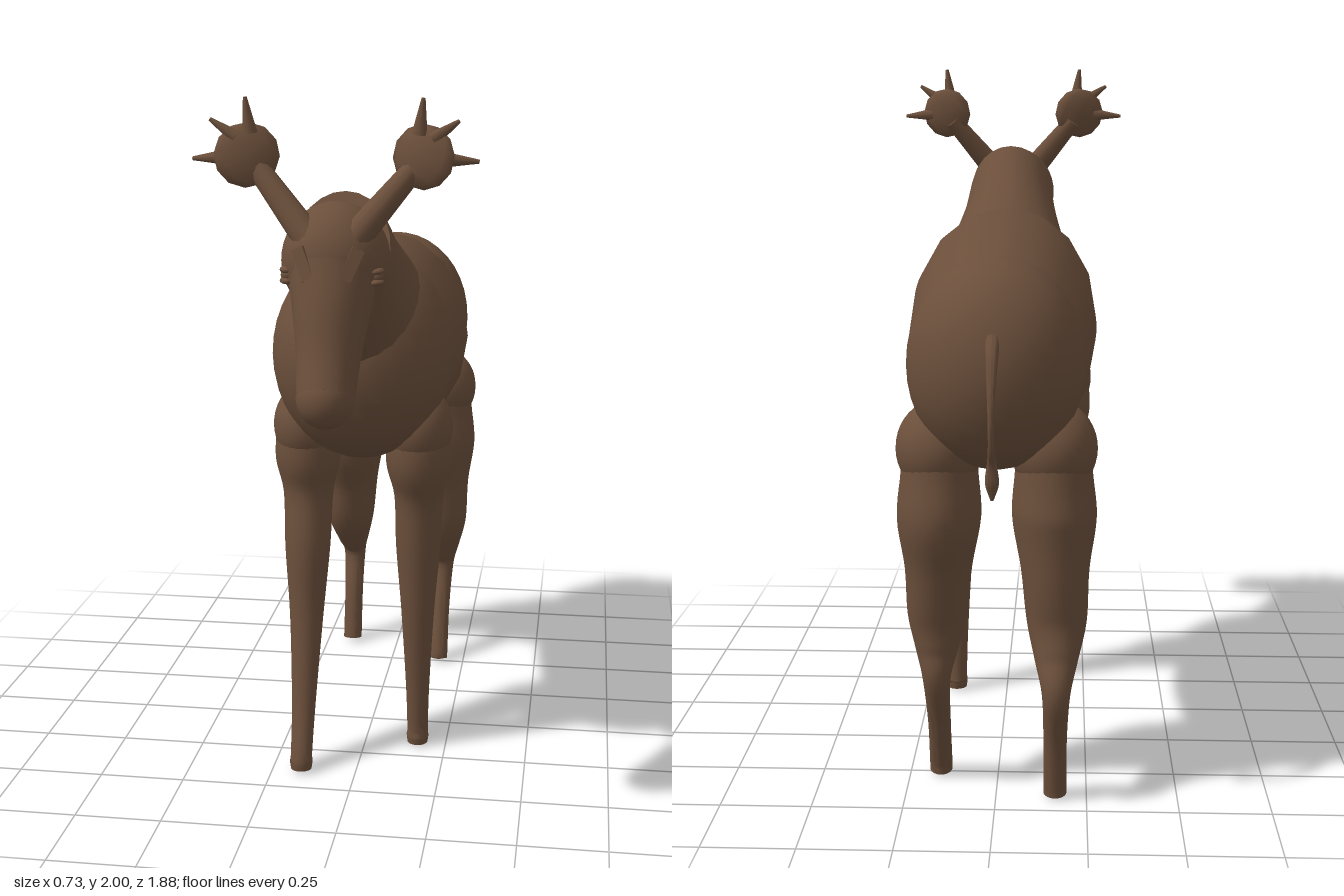
import * as THREE from 'three';
import { toCreasedNormals } from 'three/addons/utils/BufferGeometryUtils.js';

const hide = new THREE.MeshStandardMaterial({ color: 0x6b4f3b });
hide.name = 'brown hide';

const V = (x, y, z) => new THREE.Vector3(x, y, z);

function add(parent, name, geometry) {
  const mesh = new THREE.Mesh(geometry, hide);
  mesh.name = name;
  parent.add(mesh);
  return mesh;
}

function ellipsoid(parent, name, pos, radii, w = 32, h = 20) {
  const mesh = add(parent, name, new THREE.SphereGeometry(1, w, h));
  mesh.position.set(...pos);
  mesh.scale.set(...radii);
  return mesh;
}

// Smooth skin over elliptical rings [x, y, z, half width, half depth]
function loft(rings, sides = 24, steps = 5) {
  const path = new THREE.CatmullRomCurve3(rings.map(r => V(r[0], r[1], r[2])), false, 'catmullrom');
  const size = new THREE.CatmullRomCurve3(rings.map(r => V(r[3], r[4], 0)), false, 'catmullrom');
  const n = (rings.length - 1) * steps;
  const side = V(1, 0, 0), pos = [], index = [];
  for (let i = 0; i <= n; i++) {
    const c = path.getPoint(i / n), s = size.getPoint(i / n);
    const t = path.getTangent(i / n).setX(0).normalize();
    const normal = t.cross(side);
    for (let j = 0; j < sides; j++) {
      const a = j / sides * Math.PI * 2;
      const p = c.clone().addScaledVector(side, Math.cos(a) * s.x).addScaledVector(normal, Math.sin(a) * s.y);
      pos.push(p.x, p.y, p.z);
    }
  }
  for (let i = 0; i < n; i++) {
    for (let j = 0; j < sides; j++) {
      const a = i * sides + j, b = i * sides + (j + 1) % sides;
      index.push(a, b, a + sides, b, b + sides, a + sides);
    }
  }
  // End caps
  const first = pos.length / 3, last = n * sides;
  const c0 = path.getPoint(0), c1 = path.getPoint(1);
  pos.push(c0.x, c0.y, c0.z, c1.x, c1.y, c1.z);
  for (let j = 0; j < sides; j++) {
    const k = (j + 1) % sides;
    index.push(first, k, j, first + 1, last + j, last + k);
  }
  const g = new THREE.BufferGeometry();
  g.setAttribute('position', new THREE.Float32BufferAttribute(pos, 3));
  g.setIndex(index);
  return toCreasedNormals(g, Math.PI / 4);
}

// Cone or rod between two points
function rod(parent, name, from, to, r0, r1, sides = 12) {
  const a = V(...from), b = V(...to), d = b.clone().sub(a);
  const mesh = add(parent, name, new THREE.CylinderGeometry(r1, r0, d.length(), sides));
  mesh.position.copy(a).add(b).multiplyScalar(0.5);
  mesh.quaternion.setFromUnitVectors(V(0, 1, 0), d.normalize());
  return mesh;
}

// Leg rings: [y, z, x, half width, half depth]
function leg(parent, name, s, rings) {
  return add(parent, name, loft(rings.map(([y, z, x, rx, rz]) => [s * x, y, z, rx, rz])));
}

function makeAntler(s) {
  const g = new THREE.Group();
  g.name = s > 0 ? 'leftAntler' : 'rightAntler';
  rod(g, 'antlerStem', [s * 0.055, 1.65, 0.765], [s * 0.205, 1.83, 0.695], 0.04, 0.028);
  const palm = ellipsoid(g, 'antlerPalm', [s * 0.225, 1.855, 0.705], [0.085, 0.082, 0.028], 8, 6);
  palm.rotation.set(-0.15, -s * 0.3, -s * 0.5);
  const tines = [
    [[0.215, 1.91, 0.71], [0.225, 2.0, 0.715], 0.02],
    [[0.25, 1.9, 0.715], [0.315, 1.945, 0.72], 0.018],
    [[0.275, 1.85, 0.715], [0.365, 1.845, 0.705], 0.02],
    [[0.19, 1.87, 0.7], [0.135, 1.9, 0.69], 0.014],
  ];
  tines.slice(0, 3).forEach(([a, b, r]) =>
    rod(g, 'antlerTine', [s * a[0], a[1], a[2]], [s * b[0], b[1], b[2]], r, 0.005, 8));
  return g;
}

export function createModel() {
  const model = new THREE.Group();
  model.name = 'hornedAnimal';

  // Body
  add(model, 'torso', loft([
    [0, 1.25, 0.3, 0.24, 0.29], [0, 1.255, 0.18, 0.262, 0.31], [0, 1.25, 0, 0.275, 0.325],
    [0, 1.215, -0.25, 0.27, 0.325], [0, 1.185, -0.5, 0.24, 0.285], [0, 1.18, -0.62, 0.2, 0.24],
  ], 16));
  ellipsoid(model, 'chest', [0, 1.25, 0.2], [0.262, 0.31, 0.31]);
  ellipsoid(model, 'rump', [0, 1.205, -0.62], [0.24, 0.285, 0.242]);

  // Neck
  add(model, 'neck', loft([
    [0, 1.33, 0.2, 0.21, 0.25], [0, 1.49, 0.44, 0.155, 0.2],
    [0, 1.595, 0.595, 0.135, 0.175], [0, 1.605, 0.61, 0.125, 0.165],
  ]));

  // Head
  const head = new THREE.Group();
  head.name = 'head';
  model.add(head);
  ellipsoid(head, 'skull', [0, 1.59, 0.69], [0.14, 0.15, 0.15]);
  add(head, 'muzzle', loft([
    [0, 1.56, 0.725, 0.12, 0.13], [0, 1.47, 0.77, 0.1, 0.114],
    [0, 1.36, 0.82, 0.082, 0.092], [0, 1.27, 0.865, 0.075, 0.081],
  ]));
  ellipsoid(head, 'nose', [0, 1.268, 0.866], [0.075, 0.08, 0.08]);

  for (const s of [1, -1]) {
    // Brows, eyes and antlers
    const brow = add(head, 'brow', new THREE.BoxGeometry(0.032, 0.085, 0.03));
    brow.position.set(s * 0.058, 1.597, 0.82);
    brow.rotation.set(-0.2, s * 0.3, -s * 0.4);
    ellipsoid(head, 'eye', [s * 0.112, 1.56, 0.755], [0.02, 0.018, 0.022], 16, 10);
    for (const dy of [0.014, -0.014]) {
      ellipsoid(head, 'eyelid', [s * 0.113, 1.56 + dy, 0.756], [0.021, 0.01, 0.031], 16, 8);
    }
    head.add(makeAntler(s));

    // Front leg, one stepping forward
    const f = s > 0 ? 0 : 1;
    ellipsoid(model, 'shoulder', [s * 0.165, 1.03, 0.205], [0.1, 0.125, 0.12]);
    leg(model, 'frontLeg', s, [
      [1.04, 0.2, 0.165, 0.09, 0.11], [0.93, 0.2, 0.165, 0.097, 0.115],
      [0.82, 0.185 + f * 0.02, 0.165, 0.074, 0.09], [0.66, 0.18 + f * 0.06, 0.163, 0.067, 0.078],
      [0.45, 0.182 + f * 0.09, 0.163, 0.05, 0.054], [0.2, 0.17 + f * 0.165, 0.163, 0.036, 0.036],
      [0.05, 0.16 + f * 0.225, 0.163, 0.032, 0.032], [0.03, 0.16 + f * 0.228, 0.163, 0.034, 0.035],
      [0.007, 0.16 + f * 0.23, 0.163, 0.031, 0.032],
    ]);

    // Hind leg, one trailing
    const b = s > 0 ? 0 : 1;
    ellipsoid(model, 'hip', [s * 0.155, 0.97, -0.595], [0.118, 0.13, 0.14]);
    leg(model, 'hindLeg', s, [
      [1.0, -0.595, 0.155, 0.1, 0.125], [0.9, -0.595, 0.155, 0.106, 0.138],
      [0.78, -0.595, 0.157, 0.115, 0.155], [0.64, -0.59 - b * 0.03, 0.16, 0.093, 0.118],
      [0.5, -0.585 - b * 0.05, 0.165, 0.082, 0.09], [0.4, -0.605 - b * 0.08, 0.165, 0.058, 0.058],
      [0.32, -0.622 - b * 0.11, 0.165, 0.038, 0.04], [0.18, -0.565 - b * 0.125, 0.163, 0.032, 0.034],
      [0.04, -0.512 - b * 0.148, 0.163, 0.032, 0.032], [0.01, -0.505 - b * 0.15, 0.163, 0.032, 0.032],
    ]);
  }

  // Tail with tuft
  add(model, 'tail', loft([
    [0, 1.3, -0.83, 0.02, 0.022], [0, 1.24, -0.88, 0.015, 0.018], [0, 1.13, -0.918, 0.009, 0.011],
    [0, 1.04, -0.913, 0.008, 0.009], [0, 0.99, -0.88, 0.012, 0.014],
    [0, 0.935, -0.865, 0.018, 0.021], [0, 0.89, -0.865, 0.004, 0.005],
  ], 12));

  return model;
}
